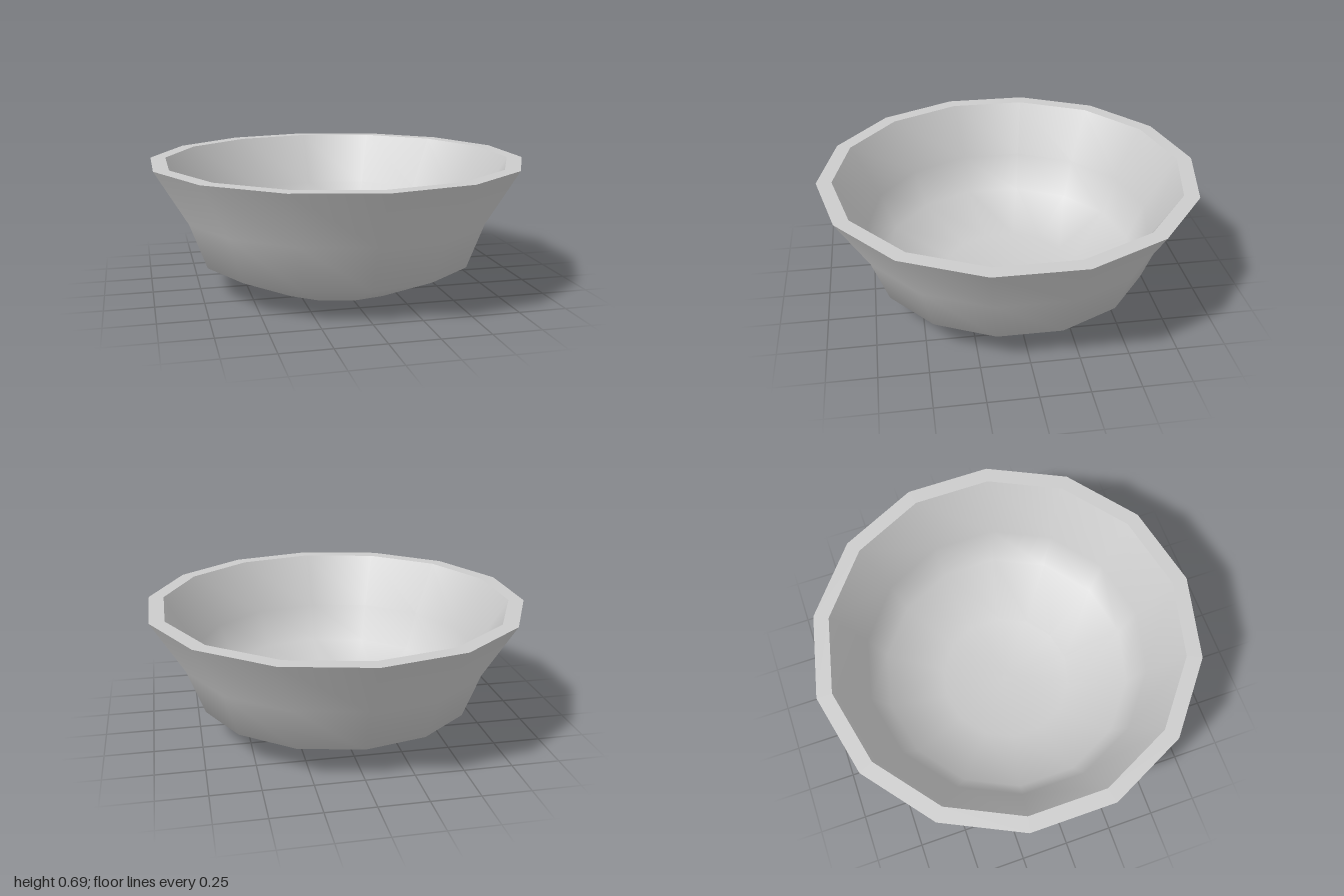
import * as THREE from 'three';

const SIDES = 14;
const HEIGHT = 0.685;

export function createModel() {
  const bowl = new THREE.Group();
  bowl.name = 'bowl';
  const material = new THREE.MeshStandardMaterial({ color: 0xcccccc });

  // Each part is a 14-sided lathe; separate parts keep the rim edges sharp.
  const addLathe = (name, profile) => {
    const points = profile.map(([r, y]) => new THREE.Vector2(r, y));
    const mesh = new THREE.Mesh(new THREE.LatheGeometry(points, SIDES), material);
    mesh.name = name;
    bowl.add(mesh);
  };

  // Outside: flat base, shallow foot slope, flaring wall
  addLathe('outerShell', [[0, 0], [0.385, 0], [0.74, 0.16], [0.83, 0.4], [1, HEIGHT]]);

  // Flat top edge
  addLathe('rim', [[1, HEIGHT], [0.92, HEIGHT]]);

  // Inside: follows the wall at even thickness down to the floor
  addLathe('innerShell', [[0.92, HEIGHT], [0.76, 0.41], [0.675, 0.21], [0.36, 0.07], [0, 0.07]]);

  return bowl;
}
